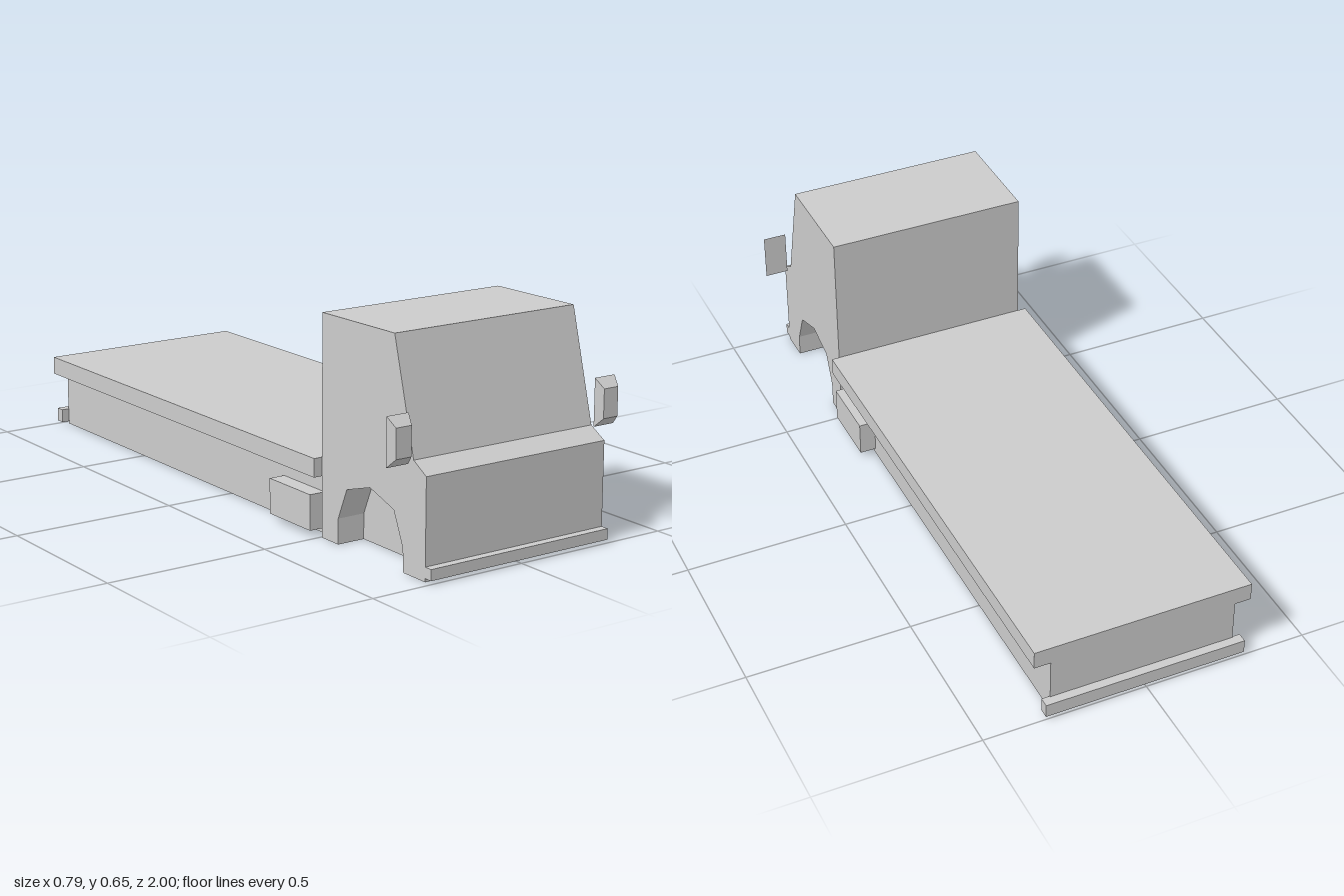
import * as THREE from 'three';

const material = new THREE.MeshStandardMaterial({ color: 0xcccccc, flatShading: true });

// Adds a mesh to a parent under a plain name
function add(parent, name, geometry) {
  const mesh = new THREE.Mesh(geometry, material);
  mesh.name = name;
  parent.add(mesh);
  return mesh;
}

// Box given by its min and max corners
function box(x0, x1, y0, y1, z0, z1) {
  return new THREE.BoxGeometry(x1 - x0, y1 - y0, z1 - z0)
    .translate((x0 + x1) / 2, (y0 + y1) / 2, (z0 + z1) / 2);
}

// Side profile of [z, y] points extruded across x0..x1
function sideExtrude(points, x0, x1) {
  const shape = new THREE.Shape(points.map(([z, y]) => new THREE.Vector2(z, y)));
  return new THREE.ExtrudeGeometry(shape, { depth: x1 - x0, bevelEnabled: false })
    .rotateY(-Math.PI / 2)
    .translate(x1, 0, 0);
}

// Mirror housing: a box whose front face is drawn in
function mirrorHousing() {
  const geometry = new THREE.BoxGeometry(0.072, 0.14, 0.028);
  const p = geometry.attributes.position;
  for (let i = 0; i < p.count; i++) {
    if (p.getZ(i) > 0) p.setXY(i, p.getX(i) * 0.71, p.getY(i) * 0.61);
  }
  geometry.computeVertexNormals();
  return geometry;
}

export function createModel() {
  const truck = new THREE.Group();
  truck.name = 'flatbedTruck';

  // Cab: solid core between two side slabs with wheel arches
  const cab = new THREE.Group();
  cab.name = 'cab';
  truck.add(cab);
  const outline = [
    [0.975, 0], [0.975, 0.29], [0.92, 0.322], [0.833, 0.648], [0.505, 0.645], [0.505, 0],
  ];
  const arch = [
    [0.582, 0], [0.582, 0.075], [0.622, 0.168], [0.728, 0.2],
    [0.835, 0.165], [0.876, 0.07], [0.88, 0],
  ];
  const half = 0.31, archDepth = 0.088;
  add(cab, 'cabCore', sideExtrude(outline, -half + archDepth, half - archDepth));
  add(cab, 'cabRightSide', sideExtrude([...outline, ...arch], -half, -half + archDepth));
  add(cab, 'cabLeftSide', sideExtrude([...outline, ...arch], half - archDepth, half));

  // Chassis, load bed and bumpers
  add(truck, 'chassis', box(-0.285, 0.285, 0.002, 0.18, -0.973, 0.506));
  add(truck, 'loadBed', box(-0.335, 0.335, 0.178, 0.233, -0.973, 0.502));
  add(truck, 'frontBumper', box(-half, half, 0.01, 0.042, 0.97, 1));
  add(truck, 'rearBumper', box(-half, half, 0.01, 0.052, -1, -0.97));

  // Paired side boxes and door mirrors
  for (const [side, s] of [['left', 1], ['right', -1]]) {
    const tank = add(truck, side + 'SideBox', new THREE.BoxGeometry(0.06, 0.105, 0.2));
    tank.position.set(s * 0.305, 0.071, 0.382);
    const mirror = add(truck, side + 'Mirror', mirrorHousing());
    mirror.position.set(s * 0.36, 0.383, 0.928);
  }

  return truck;
}
